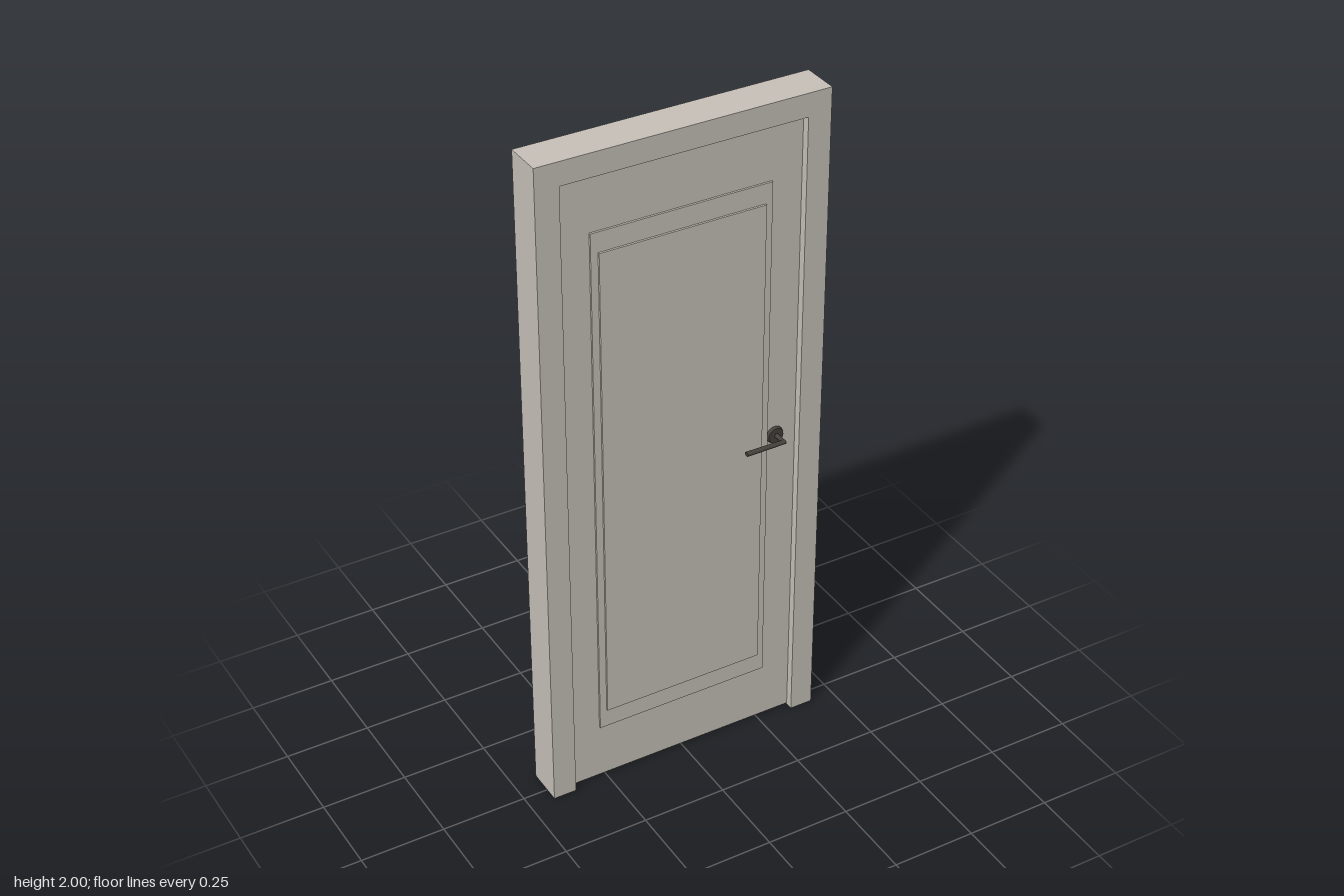
import * as THREE from 'three';

const paint = new THREE.MeshStandardMaterial({ color: 0xc8c2b9 });
paint.name = 'warm grey paint';
const metal = new THREE.MeshStandardMaterial({ color: 0x46413c });
metal.name = 'dark bronze';

const W = 0.426, H = 2, INNER = 0.357, INNER_TOP = 1.932;
const BACK = -0.069, FRONT = 0.043, SLAB = 0.02, STEP = 0.006;

function add(parent, name, geometry, material, x = 0, y = 0, z = 0) {
  const mesh = new THREE.Mesh(geometry, material);
  mesh.name = name;
  mesh.position.set(x, y, z);
  parent.add(mesh);
  return mesh;
}

// Frame: two jambs and a head as one extruded arch
function frameGeometry() {
  const s = new THREE.Shape();
  s.moveTo(-W, 0);
  s.lineTo(-INNER, 0);
  s.lineTo(-INNER, INNER_TOP);
  s.lineTo(INNER, INNER_TOP);
  s.lineTo(INNER, 0);
  s.lineTo(W, 0);
  s.lineTo(W, H);
  s.lineTo(-W, H);
  s.closePath();
  return new THREE.ExtrudeGeometry(s, { depth: FRONT - BACK, bevelEnabled: false });
}

// Handle facing +z from the slab surface: rosette, neck and lever
function buildHandle() {
  const handle = new THREE.Group();
  const rosette = add(handle, 'rosette', new THREE.CylinderGeometry(0.023, 0.026, 0.009, 20), metal, 0, 0, SLAB + 0.0045);
  rosette.rotation.x = Math.PI / 2;
  const neck = add(handle, 'neck', new THREE.CylinderGeometry(0.0055, 0.007, 0.042, 12), metal, 0.002, 0, SLAB + 0.027);
  neck.rotation.x = Math.PI / 2;
  const lever = add(handle, 'lever', new THREE.CylinderGeometry(0.0085, 0.0075, 0.122, 12), metal, -0.055, 0, 0.0645);
  lever.rotation.z = Math.PI / 2;
  lever.scale.x = 0.8;
  return handle;
}

export function createModel() {
  const door = new THREE.Group();
  door.name = 'door';
  add(door, 'frame', frameGeometry(), paint, 0, 0, BACK);

  // Slab with two stacked raised panels on each face
  add(door, 'slab', new THREE.BoxGeometry(INNER * 2, INNER_TOP - 0.004, SLAB * 2), paint, 0, INNER_TOP / 2 + 0.002, 0);
  for (const side of [1, -1]) {
    add(door, 'outerPanel', new THREE.BoxGeometry(0.532, 1.588, STEP), paint, 0, 0.971, side * (SLAB + STEP / 2));
    add(door, 'innerPanel', new THREE.BoxGeometry(0.49, 1.47, STEP), paint, 0, 0.971, side * (SLAB + STEP * 1.5));
  }

  // Handles on both faces, levers pointing toward the hinges
  const front = buildHandle();
  front.name = 'frontHandle';
  front.position.set(0.292, 0.975, 0);
  const back = buildHandle();
  back.name = 'backHandle';
  back.position.set(0.292, 0.975, 0);
  back.scale.z = -1;
  door.add(front, back);
  return door;
}
